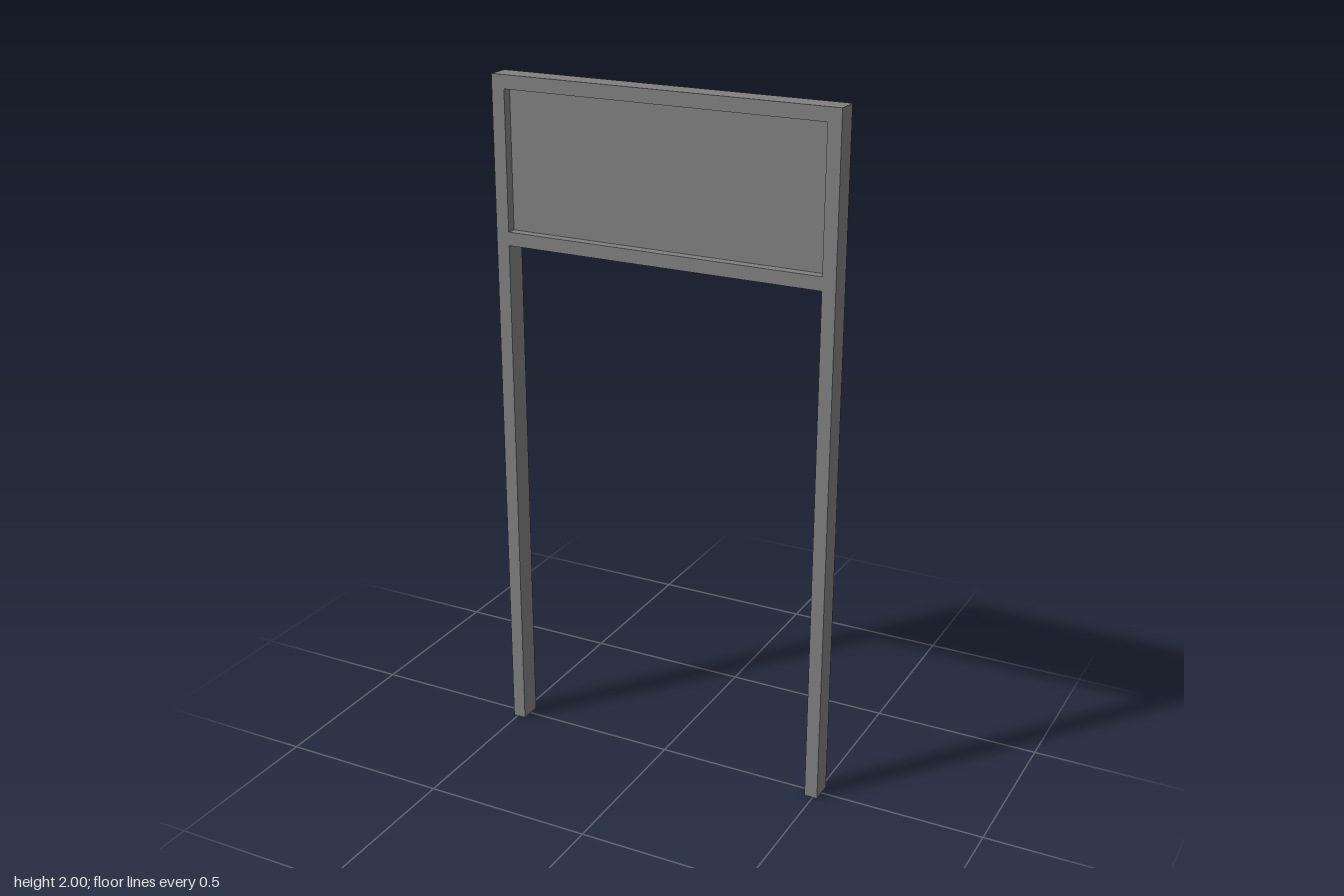
import * as THREE from 'three';

const HALF_W = 0.513;   // outer half width
const BAR = 0.039;      // width of posts and rails
const DEPTH = 0.067;
const TOP = 2;
const BOARD_BOTTOM = 1.522;

export function createModel() {
  const group = new THREE.Group();
  group.name = 'signBoard';
  const material = new THREE.MeshStandardMaterial({ color: 0x808080 });

  const addBox = (name, w, h, d, x, y) => {
    const mesh = new THREE.Mesh(new THREE.BoxGeometry(w, h, d), material);
    mesh.name = name;
    mesh.position.set(x, y, 0);
    group.add(mesh);
  };

  // Full-height posts
  for (const [name, side] of [['leftPost', 1], ['rightPost', -1]]) {
    addBox(name, BAR, TOP, DEPTH, side * (HALF_W - BAR / 2), TOP / 2);
  }

  // Rails fitted between the posts
  const innerW = 2 * (HALF_W - BAR);
  addBox('topRail', innerW, BAR, DEPTH, 0, TOP - BAR / 2);
  addBox('bottomRail', innerW, BAR, DEPTH, 0, BOARD_BOTTOM + BAR / 2);

  // Thin panel recessed on both faces
  const panelH = TOP - BOARD_BOTTOM - 2 * BAR;
  addBox('panel', innerW, panelH, 0.01, 0, (TOP + BOARD_BOTTOM) / 2);

  return group;
}
